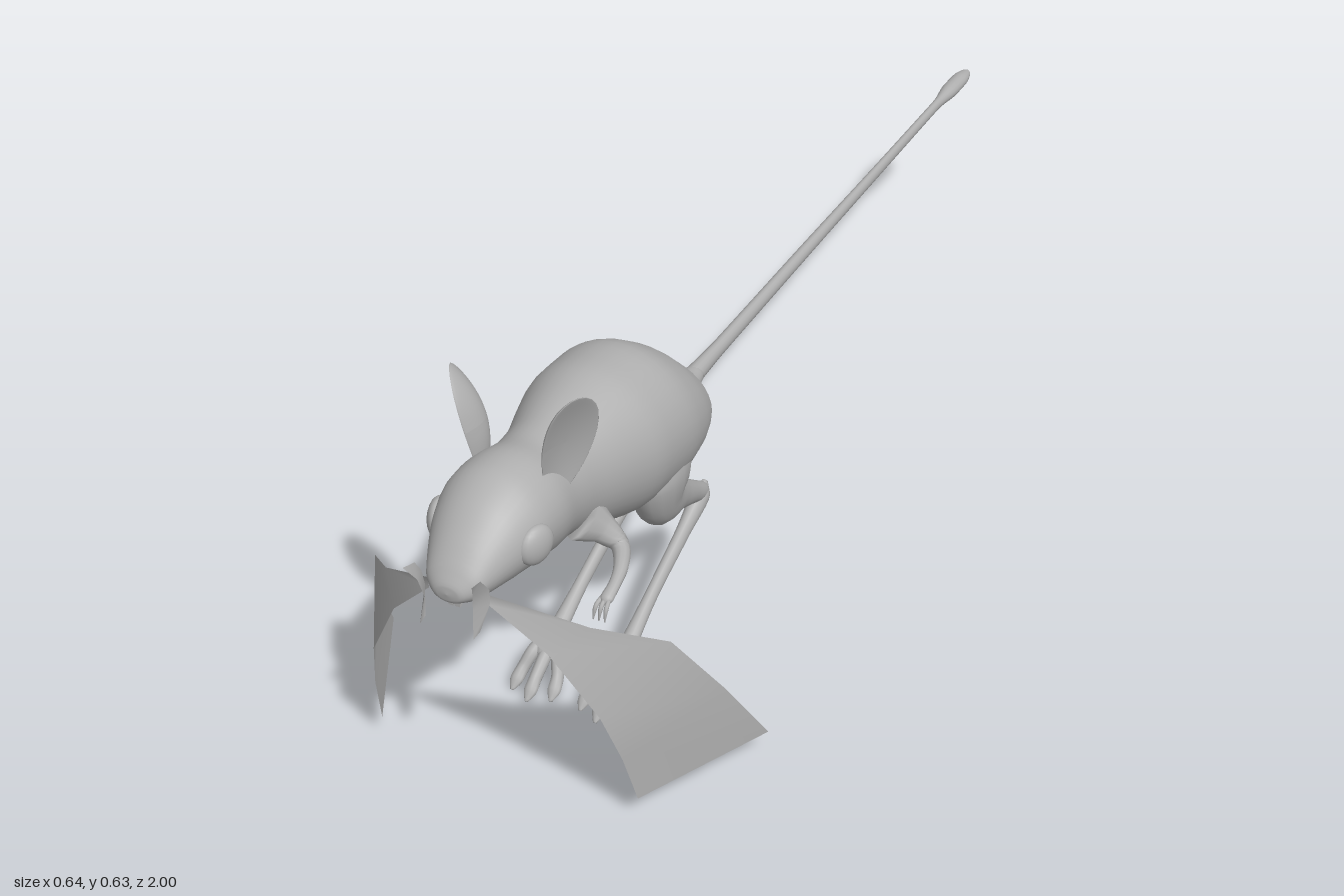
import * as THREE from 'three';

// Smooth loft through stations [x, y, z, half width, half height].
// level = true keeps every ring upright, facing z.
function loft(stations, { steps = 5, sides = 16, level = false } = {}) {
  const path = new THREE.CatmullRomCurve3(stations.map(s => new THREE.Vector3(s[0], s[1], s[2])));
  const size = new THREE.CatmullRomCurve3(stations.map(s => new THREE.Vector3(s[3], s[4], 0)));
  const n = (stations.length - 1) * steps;
  const pos = [], idx = [];
  for (let i = 0; i <= n; i++) {
    const p = path.getPoint(i / n), r = size.getPoint(i / n);
    const t = level ? new THREE.Vector3(0, 0, 1) : path.getTangent(i / n);
    const s = new THREE.Vector3(1, 0, 0).addScaledVector(t, -t.x).normalize();
    const u = t.clone().cross(s);
    for (let j = 0; j < sides; j++) {
      const a = (j / sides) * Math.PI * 2;
      const q = p.clone()
        .addScaledVector(s, Math.cos(a) * Math.max(r.x, 0.0005))
        .addScaledVector(u, Math.sin(a) * Math.max(r.y, 0.0005));
      pos.push(q.x, q.y, q.z);
      if (i < n) {
        const k = (j + 1) % sides, b = i * sides, c = b + sides;
        idx.push(b + j, b + k, c + j, b + k, c + k, c + j);
      }
    }
  }
  // end caps
  for (let j = 1; j < sides - 1; j++) {
    const e = n * sides;
    idx.push(0, j + 1, j, e, e + j, e + j + 1);
  }
  return build(pos, idx);
}

function build(pos, idx) {
  const g = new THREE.BufferGeometry();
  g.setAttribute('position', new THREE.Float32BufferAttribute(pos, 3));
  g.setIndex(idx);
  g.computeVertexNormals();
  return g;
}

// Open ribbon between two edges of equal length
function ribbon(edgeA, edgeB) {
  const idx = [];
  for (let i = 0; i < edgeA.length - 1; i++) {
    const a = i * 2;
    idx.push(a, a + 2, a + 1, a + 1, a + 2, a + 3);
  }
  return build(edgeA.flatMap((p, i) => [...p, ...edgeB[i]]), idx);
}

// Copy of a geometry on the other side of x = 0
function mirrored(geo) {
  const g = geo.clone().scale(-1, 1, 1);
  const ix = g.index.array;
  for (let i = 0; i < ix.length; i += 3) [ix[i + 1], ix[i + 2]] = [ix[i + 2], ix[i + 1]];
  g.computeVertexNormals();
  return g;
}

// Cupped leaf: a sphere squashed so its front sinks into its back
function earGeometry() {
  const g = new THREE.SphereGeometry(1, 28, 20).rotateX(Math.PI / 2);
  const p = g.attributes.position;
  for (let i = 0; i < p.count; i++) {
    const x = p.getX(i), y = p.getY(i), z = p.getZ(i);
    const cup = -(1 - x * x - y * y) * 0.022;
    const width = 0.05 * (0.84 + 0.2 * y);
    p.setXYZ(i, x * width, y * 0.086, z > 0 ? cup * 0.5 + z * 0.002 : cup + z * 0.007);
  }
  g.rotateY(1.08).rotateZ(-0.24).translate(0.079, 0.549, 0.78);
  g.computeVertexNormals();
  return g;
}

export function createModel() {
  const model = new THREE.Group();
  const grey = new THREE.MeshStandardMaterial({ color: 0xb0b0b0, side: THREE.DoubleSide });
  grey.name = 'grey';

  const add = (name, geo) => {
    const m = new THREE.Mesh(geo, grey);
    m.name = name;
    model.add(m);
  };
  const pair = (name, geo) => {
    add(name + 'Left', geo);
    add(name + 'Right', mirrored(geo));
  };

  // Body and head: z, top, bottom, half width
  const profile = [
    [0.23, 0.343, 0.313, 0.014], [0.27, 0.352, 0.311, 0.024], [0.31, 0.388, 0.297, 0.055],
    [0.36, 0.436, 0.283, 0.09], [0.42, 0.49, 0.273, 0.112], [0.49, 0.53, 0.27, 0.121],
    [0.57, 0.54, 0.282, 0.117], [0.64, 0.534, 0.308, 0.097], [0.70, 0.524, 0.332, 0.079],
    [0.75, 0.522, 0.35, 0.077], [0.80, 0.533, 0.362, 0.084], [0.85, 0.532, 0.374, 0.083],
    [0.90, 0.511, 0.382, 0.07], [0.94, 0.479, 0.388, 0.053], [0.965, 0.452, 0.395, 0.04],
    [0.98, 0.43, 0.404, 0.02], [0.982, 0.418, 0.416, 0.001],
  ];
  add('body', loft(profile.map(([z, top, low, w]) => [0, (top + low) / 2, z, w, (top - low) / 2]),
    { level: true, sides: 36, steps: 4 }));

  // Long tail with a tuft at the tip
  add('tail', loft([
    [0, 0.329, 0.26, 0.016, 0.017], [0, 0.328, 0.15, 0.011, 0.014], [0, 0.328, -0.2, 0.01, 0.012],
    [0, 0.326, -0.55, 0.008, 0.011], [0, 0.325, -0.82, 0.008, 0.01], [0, 0.324, -0.9, 0.016, 0.014],
    [0, 0.323, -0.95, 0.016, 0.013], [0, 0.322, -0.985, 0.01, 0.008], [0, 0.322, -1, 0.001, 0.001],
  ]));

  // Head details
  pair('ear', earGeometry());
  const eye = new THREE.SphereGeometry(0.03, 20, 14).scale(0.5, 1, 1)
    .rotateY(-0.3).translate(0.075, 0.448, 0.872);
  pair('eye', eye);
  pair('nostril', new THREE.SphereGeometry(0.009, 10, 8).translate(0.01, 0.422, 0.972));
  pair('incisor', new THREE.BoxGeometry(0.008, 0.014, 0.006).translate(0.005, 0.394, 0.962));

  // Broad drooping whisker sheets and the short ones by the nose
  pair('whiskers', ribbon(
    [[0.045, 0.415, 0.957], [0.16, 0.345, 0.885], [0.237, 0.285, 0.80], [0.287, 0.165, 0.73], [0.318, 0.04, 0.655]],
    [[0.045, 0.395, 0.953], [0.12, 0.32, 0.932], [0.18, 0.21, 0.905], [0.2, 0.125, 0.882], [0.21, 0.04, 0.86]]));
  pair('shortWhiskers', ribbon(
    [[0.052, 0.457, 1.0], [0.042, 0.43, 0.984], [0.037, 0.4, 0.978], [0.041, 0.36, 0.988]],
    [[0.05, 0.45, 0.975], [0.052, 0.425, 0.958], [0.05, 0.4, 0.955], [0.042, 0.362, 0.972]]));

  // Hind legs: thigh down to the hock, then the long foot
  pair('thigh', loft([
    [0.06, 0.4, 0.5, 0.03, 0.04], [0.07, 0.34, 0.5, 0.042, 0.07], [0.066, 0.282, 0.49, 0.034, 0.05],
    [0.06, 0.238, 0.425, 0.022, 0.027], [0.056, 0.202, 0.365, 0.015, 0.019],
    [0.055, 0.18, 0.328, 0.012, 0.015], [0.055, 0.172, 0.316, 0.002, 0.003],
  ]));
  pair('hindFoot', loft([
    [0.055, 0.192, 0.315, 0.004, 0.006], [0.055, 0.175, 0.335, 0.015, 0.018],
    [0.056, 0.147, 0.4, 0.011, 0.014], [0.057, 0.105, 0.51, 0.01, 0.012],
    [0.058, 0.068, 0.595, 0.014, 0.012], [0.058, 0.053, 0.63, 0.024, 0.011],
    [0.058, 0.045, 0.645, 0.012, 0.006],
  ]));
  for (const [name, side, reach] of [['innerToe', -1, 0], ['middleToe', 0, 0.015], ['outerToe', 1, 0]]) {
    const x = 0.058;
    pair(name, loft([
      [x + side * 0.012, 0.058, 0.612, 0.006, 0.006], [x + side * 0.021, 0.046, 0.64, 0.011, 0.01],
      [x + side * 0.029, 0.026, 0.658 + reach, 0.01, 0.01],
      [x + side * 0.032, 0.014, 0.675 + reach, 0.011, 0.008],
      [x + side * 0.033, 0.003, 0.69 + reach, 0.003, 0.002],
    ], { sides: 10 }));
  }

  // Forelegs with three small fingers
  pair('foreleg', loft([
    [0.055, 0.385, 0.71, 0.022, 0.04], [0.075, 0.355, 0.69, 0.018, 0.024],
    [0.1, 0.33, 0.685, 0.014, 0.015], [0.12, 0.322, 0.72, 0.011, 0.011],
    [0.127, 0.315, 0.755, 0.009, 0.008], [0.127, 0.308, 0.778, 0.01, 0.007],
    [0.127, 0.304, 0.785, 0.003, 0.003],
  ], { sides: 12 }));
  for (const k of [-1, 0, 1]) {
    pair('finger' + (k + 2), loft([
      [0.126 + k * 0.005, 0.31, 0.772, 0.003, 0.003],
      [0.125 + k * 0.008, 0.302, 0.79, 0.0035, 0.004],
      [0.124 + k * 0.009, 0.282, 0.797, 0.001, 0.001],
    ], { sides: 8 }));
  }
  return model;
}
